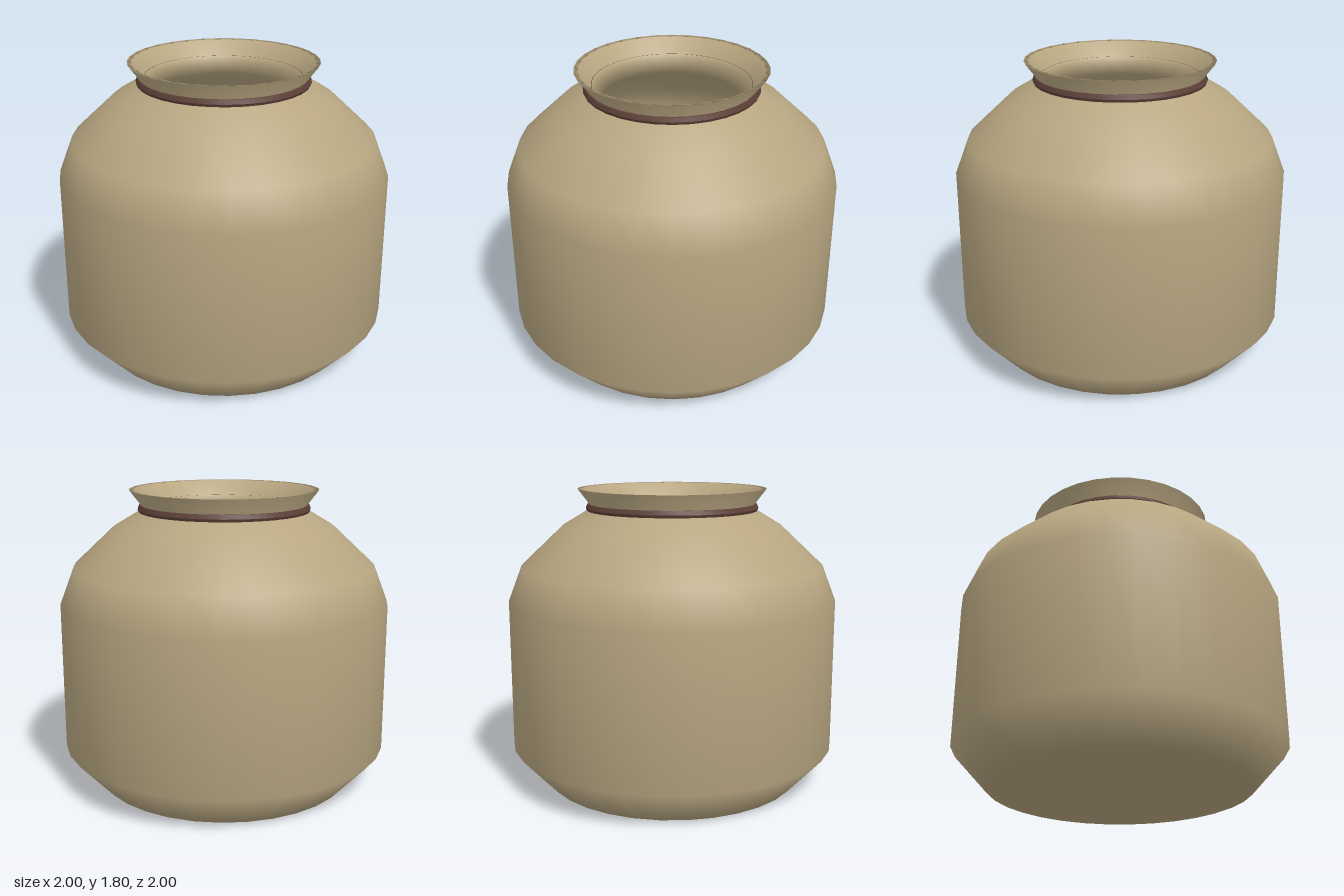
import * as THREE from 'three';
import { toCreasedNormals } from 'three/addons/utils/BufferGeometryUtils.js';

const SEGMENTS = 32;

// Turn a list of [radius, height] pairs around the vertical axis
function turned(profile) {
  return new THREE.LatheGeometry(profile.map(([r, y]) => new THREE.Vector2(r, y)), SEGMENTS);
}

export function createModel() {
  const clay = new THREE.MeshStandardMaterial({ color: 0xb8a681 });
  clay.name = 'clay';
  const brown = new THREE.MeshStandardMaterial({ color: 0x5d4037 });
  brown.name = 'brownCord';

  const pot = new THREE.Group();
  pot.name = 'pot';

  // Hollow body: outer wall, flared lip, then back down the inside to the floor
  const body = new THREE.Mesh(turned([
    [0, 0], [0.79, 0], [1, 0.23], [1, 1.13], [0.915, 1.35], [0.67, 1.58],
    [0.52, 1.67], [0.49, 1.7], [0.57, 1.805],
    [0.54, 1.803], [0.47, 1.71], [0.41, 1.62],
    [0.62, 1.52], [0.85, 1.32], [0.93, 1.11], [0.93, 0.26], [0.74, 0.06], [0, 0.06],
  ]), clay);
  body.name = 'body';
  pot.add(body);

  // Cord around the neck, with a ridge along its middle
  const cord = new THREE.Mesh(toCreasedNormals(turned([
    [0.47, 1.665], [0.512, 1.665], [0.522, 1.69], [0.512, 1.715], [0.47, 1.715],
  ]), 0.5), brown);
  cord.name = 'neckCord';
  pot.add(cord);

  return pot;
}
